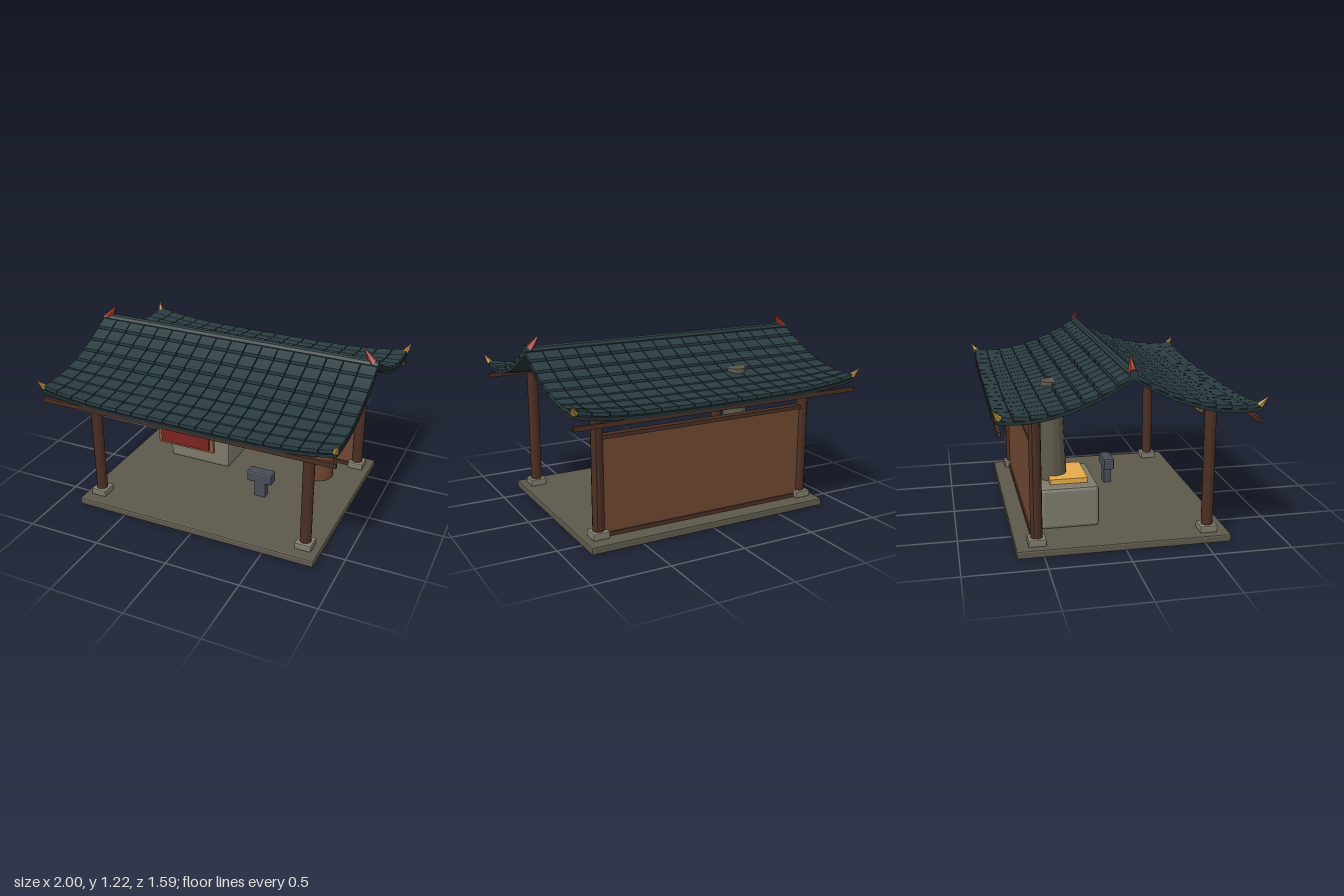
import * as THREE from 'three';
import { mergeGeometries } from 'three/addons/utils/BufferGeometryUtils.js';
import { RoundedBoxGeometry } from 'three/addons/geometries/RoundedBoxGeometry.js';

const mat = (color) => new THREE.MeshStandardMaterial({ color, flatShading: true });
const M = {
  stone: mat(0x5c584b), block: mat(0x7d7a6b), post: mat(0x4a2e22), wall: mat(0x6e4630),
  roof: mat(0x2a3c41), slab: mat(0x223034), red: mat(0x7a2420), horn: mat(0x9c3226),
  gold: mat(0xb58c40), frame: mat(0x80583a), ember: mat(0xe5aa4c), iron: mat(0x474d56), water: mat(0x1f6a66),
};
const HALF = 0.98, EAVE = 0.77;

// Underside height of the roof: a sagging slope whose eave corners sweep up
const roofY = (x, z) =>
  1.085 - 0.62 * z + 0.358 * z * z + 0.055 * Math.pow(Math.abs(x) / HALF, 4) * Math.pow(z / EAVE, 3);

// Bends a slab lying on the roof slope between x0..x1 and z0..z1
function bentSlab(x0, x1, z0, z1, low, thick, tilt, nx, nz) {
  const g = new THREE.BoxGeometry(x1 - x0, thick, z1 - z0, nx, 1, nz);
  g.translate((x0 + x1) / 2, low + thick / 2, (z0 + z1) / 2);
  const p = g.attributes.position;
  for (let i = 0; i < p.count; i++) {
    const x = p.getX(i), z = p.getZ(i);
    p.setY(i, p.getY(i) + roofY(x, z) + tilt * (z - z0) / (z1 - z0));
  }
  g.computeVertexNormals();
  return g;
}

export function createModel() {
  const root = new THREE.Group();
  root.name = 'smithy';
  const add = (name, geo, material, x = 0, y = 0, z = 0, parent = root) => {
    const m = new THREE.Mesh(geo, material);
    m.name = name;
    m.position.set(x, y, z);
    parent.add(m);
    return m;
  };
  const box = (name, w, h, d, material, x, y, z) =>
    add(name, new THREE.BoxGeometry(w, h, d), material, x, y, z);
  const block = (name, w, h, d, r, material, x, y, z) =>
    add(name, new RoundedBoxGeometry(w, h, d, 1, r), material, x, y, z);
  // Cone standing from a base point to a tip point
  const spike = (name, r, sides, material, from, to) => {
    const a = new THREE.Vector3(...from), d = new THREE.Vector3(...to).sub(a);
    const g = new THREE.ConeGeometry(r, d.length(), sides).translate(0, d.length() / 2, 0);
    const m = add(name, g, material, ...from);
    m.quaternion.setFromUnitVectors(new THREE.Vector3(0, 1, 0), d.normalize());
  };

  // Floor, posts and footings
  block('floor', 1.69, 0.05, 1.33, 0.01, M.stone, 0, 0.025, 0);
  for (const sx of [-1, 1]) for (const sz of [-1, 1]) {
    block('footing', 0.11, 0.045, 0.11, 0.008, M.block, sx * 0.745, 0.0725, sz * 0.535);
    add('post', new THREE.CylinderGeometry(0.037, 0.037, 0.77, 12), M.post, sx * 0.745, 0.475, sz * 0.535);
  }

  // Back wall with rails
  box('backWall', 1.46, 0.62, 0.03, M.wall, 0, 0.37, -0.535);
  box('topRail', 1.46, 0.025, 0.05, M.post, 0, 0.68, -0.535);
  box('bottomRail', 1.46, 0.025, 0.05, M.post, 0, 0.065, -0.535);

  // Roof halves: lining, rows of tiles and eave beam
  const cols = 18, rows = 8, cw = 2 * HALF / cols, rl = EAVE / rows;
  const tiles = [];
  for (let r = 0; r < rows; r++) for (let c = 0; c < cols; c++) {
    const x0 = -HALF + c * cw, z0 = r * rl + 0.006;
    const z1 = Math.min(EAVE, r * rl + (r < 4 ? rl - 0.006 : rl + 0.004));
    tiles.push(bentSlab(x0 + 0.003, x0 + cw - 0.003, z0, z1, 0.018, 0.023, 0.008, 1, 2));
  }
  const tileGeo = mergeGeometries(tiles);
  const liningGeo = bentSlab(-HALF, HALF, 0, EAVE, 0, 0.02, 0, 18, 16);
  for (const side of [0, 1]) {
    const half = new THREE.Group();
    half.name = side ? 'backRoof' : 'frontRoof';
    half.rotation.y = side * Math.PI;
    root.add(half);
    add('roofLining', liningGeo, M.slab, 0, 0, 0, half);
    add('roofTiles', tileGeo, M.roof, 0, 0, 0, half);
    add('eaveBeam', new THREE.BoxGeometry(1.96, 0.028, 0.02), M.post, 0, 0.817, 0.758, half);
  }
  const ridge = add('ridge', new THREE.CylinderGeometry(0.027, 0.027, 1.96, 8), M.roof, 0, 1.12, 0);
  ridge.rotation.z = Math.PI / 2;

  // Ridge horns and corner tips
  for (const sx of [-1, 1]) {
    spike('ridgeHorn', 0.03, 6, M.horn, [sx * 0.945, 1.125, 0], [sx * 0.875, 1.22, 0]);
    for (const sz of [-1, 1])
      spike('cornerTip', 0.022, 6, M.gold, [sx * 0.97, 0.905, sz * 0.755], [sx * 0.998, 0.965, sz * 0.797]);
  }

  // Hanging sign board
  box('signFrame', 0.37, 0.165, 0.02, M.frame, -0.005, 0.7375, 0.665);
  box('signPanel', 0.32, 0.12, 0.018, M.red, -0.005, 0.735, 0.682);

  // Forge, embers and chimney
  block('forge', 0.47, 0.27, 0.37, 0.022, M.block, -0.32, 0.185, -0.295);
  box('embers', 0.315, 0.04, 0.24, M.ember, -0.32, 0.332, -0.29);
  add('chimney', new THREE.CylinderGeometry(0.067, 0.093, 0.64, 12), M.stone, -0.32, 0.637, -0.373);

  // Anvil
  block('anvilHead', 0.18, 0.08, 0.075, 0.01, M.iron, 0.26, 0.2, 0.108);
  box('anvilStand', 0.078, 0.12, 0.055, M.iron, 0.262, 0.108, 0.108);

  // Quenching barrel
  add('barrel', new THREE.CylinderGeometry(0.102, 0.102, 0.205, 16), M.wall, 0.53, 0.1525, -0.315);
  add('water', new THREE.CylinderGeometry(0.088, 0.088, 0.006, 16), M.water, 0.53, 0.255, -0.315);

  return root;
}
